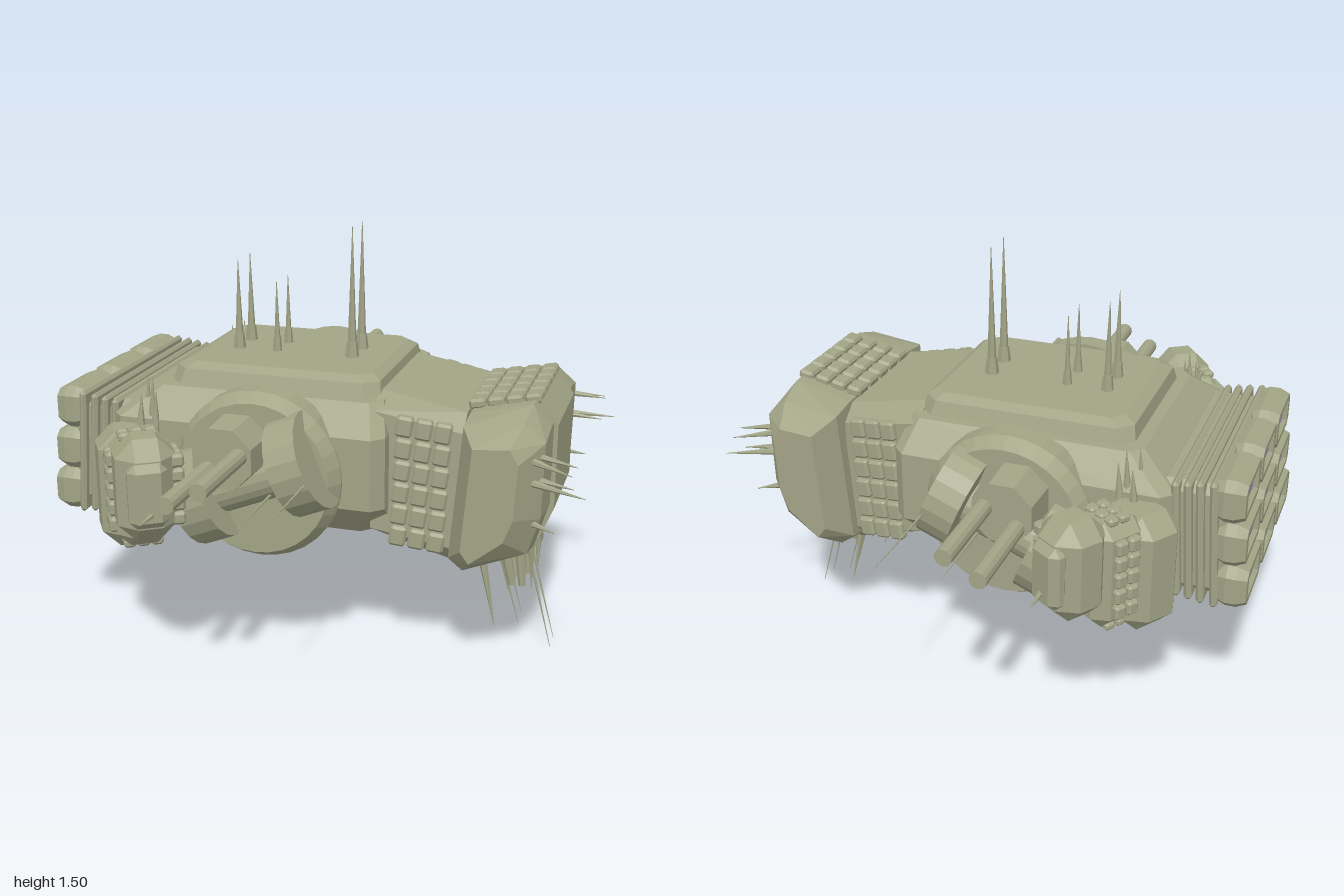
import * as THREE from 'three';
import { ConvexGeometry } from 'three/addons/geometries/ConvexGeometry.js';

const V = (x, y, z) => new THREE.Vector3(x, y, z);
const paint = (color) => new THREE.MeshStandardMaterial({ color, flatShading: true });

export function createModel() {
  const model = new THREE.Group();
  const olive = paint(0xa2a486), purple = paint(0xa98cc4);

  function add(name, geometry, material = olive, parent = model) {
    const mesh = new THREE.Mesh(geometry, material);
    mesh.name = name;
    parent.add(mesh);
    return mesh;
  }

  // Box with every edge chamfered by c
  function bevelBox(sx, sy, sz, c) {
    const pts = [], a = sx / 2, b = sy / 2, d = sz / 2;
    for (const i of [-1, 1]) for (const j of [-1, 1]) for (const k of [-1, 1]) {
      pts.push(V(i * a, j * (b - c), k * (d - c)), V(i * (a - c), j * b, k * (d - c)), V(i * (a - c), j * (b - c), k * d));
    }
    return new ConvexGeometry(pts);
  }

  // Plan-view octagon at height y
  function ring(x0, x1, w, y, c) {
    const pts = [];
    for (const s of [-1, 1]) pts.push(V(x0, y, s * (w - c)), V(x0 + c, y, s * w), V(x1 - c, y, s * w), V(x1, y, s * (w - c)));
    return pts;
  }

  // Side profile placed at depth z
  const layer = (profile, z) => profile.map(([x, y]) => V(x, y, z));

  // Tapered rod from a to b
  function rod(name, a, b, r0, r1, sides = 6) {
    const mesh = add(name, new THREE.CylinderGeometry(r1, r0, a.distanceTo(b), sides));
    mesh.position.copy(a).add(b).multiplyScalar(0.5);
    mesh.quaternion.setFromUnitVectors(V(0, 1, 0), b.clone().sub(a).normalize());
  }
  const needle = (name, a, b, r) => rod(name, a, b, r, 0.001);

  // Raised tiles over the parallelogram spanned by u and v from an origin
  function tiles(name, origin, u, v, cols, rows, depth = 0.03) {
    const group = new THREE.Group();
    group.name = name;
    const w = u.length() / cols, h = v.length() / rows;
    const geo = bevelBox(w * 0.9, h * 0.9, depth, 0.009);
    const X = u.clone().normalize(), Z = X.clone().cross(v).normalize(), Y = Z.clone().cross(X);
    const basis = new THREE.Matrix4().makeBasis(X, Y, Z);
    for (let i = 0; i < cols; i++) for (let j = 0; j < rows; j++) {
      const tile = add('tile', geo, olive, group);
      tile.quaternion.setFromRotationMatrix(basis);
      tile.position.copy(origin).addScaledVector(u, (i + 0.5) / cols).addScaledVector(v, (j + 0.5) / rows);
    }
    model.add(group);
  }

  // Main hull and raised deck
  add('hull', new ConvexGeometry([
    ...ring(-0.6, 0.27, 0.32, 0.49, 0.1), ...ring(-0.7, 0.28, 0.45, 0.62, 0.04),
    ...ring(-0.7, 0.28, 0.45, 0.87, 0.04), ...ring(-0.57, 0.25, 0.36, 0.97, 0.04)]));
  add('deck', new ConvexGeometry([
    ...ring(-0.535, 0.235, 0.335, 0.94, 0.04), ...ring(-0.52, 0.22, 0.31, 1.02, 0.05), ...ring(-0.48, 0.19, 0.275, 1.04, 0.04)]));

  // Deck antennas
  for (const s of [-1, 1]) for (const [x, top, r] of [[-0.365, 1.36, 0.024], [-0.22, 1.29, 0.018], [0.06, 1.5, 0.027]]) {
    rod('antennaBase', V(x, 1.03, s * 0.06), V(x, 1.095, s * 0.06), r, r * 0.7);
    needle('antenna', V(x, 1.08, s * 0.06), V(x, top, s * 0.06), r * 0.6);
  }

  // Ribbed engine block
  add('engineCore', bevelBox(0.26, 0.4, 0.78, 0.03)).position.set(-0.76, 0.705, 0);
  [-0.71, -0.75, -0.79, -0.835].forEach((x, i) => {
    const rib = add('engineRib', bevelBox(0.026, 0.42 + i * 0.012, 0.84, 0.01));
    rib.position.set(x, 0.705, 0);
    rib.rotation.z = -0.06;
  });

  // Nine framed nozzles facing the rear
  const outline = (points) => points.map(([x, y]) => new THREE.Vector2(x, y));
  const frame = new THREE.Shape(outline([[-0.125, -0.04], [-0.1, -0.062], [0.1, -0.062], [0.125, -0.04],
    [0.125, 0.04], [0.1, 0.062], [-0.1, 0.062], [-0.125, 0.04]]));
  frame.holes.push(new THREE.Path(outline([[-0.092, -0.042], [-0.092, 0.042], [0.092, 0.042], [0.092, -0.042]])));
  const frameGeo = new THREE.ExtrudeGeometry(frame, { depth: 0.035, bevelThickness: 0.035, bevelSize: 0.014, bevelSegments: 1 });
  frameGeo.rotateY(-Math.PI / 2);
  for (let i = -1; i <= 1; i++) for (let j = -1; j <= 1; j++) {
    const x = -0.87 + j * 0.013, y = 0.71 + j * 0.155, z = i * 0.28;
    add('nozzleFrame', frameGeo).position.set(x, y, z);
    add('nozzleGlow', new THREE.BoxGeometry(0.08, 0.078, 0.178), purple).position.set(x - 0.014, y, z);
  }

  // Neck
  add('neck', new ConvexGeometry([-1, 1].flatMap((s) => [
    ...[[0.22, 0.95], [0.52, 0.88], [0.52, 0.46], [0.22, 0.53]].map(([x, y]) => V(x, y, s * (0.41 - x * 0.18))),
    ...layer([[0.22, 0.99], [0.52, 0.935], [0.52, 0.385], [0.22, 0.47]], s * 0.25)])));

  // Nose core with tiled top, standing slightly above the cheeks
  const coreProfile = [[0.45, 0.9], [0.52, 0.94], [0.74, 0.985], [0.815, 0.9], [0.815, 0.6], [0.77, 0.49], [0.5, 0.4]];
  add('noseCore', new ConvexGeometry([...layer(coreProfile, -0.19), ...layer(coreProfile, 0.19)]));
  tiles('noseTiles', V(0.51, 0.945, 0.21), V(0.25, 0.046, 0), V(0, 0, -0.42), 4, 5, 0.035);

  const cheekInner = [[0.53, 0.935], [0.74, 0.985], [0.8, 0.91], [0.8, 0.62], [0.76, 0.48], [0.54, 0.38], [0.49, 0.42]];
  const cheekMid = [[0.53, 0.92], [0.73, 0.95], [0.8, 0.89], [0.795, 0.63], [0.755, 0.5], [0.54, 0.41], [0.49, 0.45]];
  const cheekOuter = [[0.58, 0.88], [0.7, 0.89], [0.73, 0.84], [0.72, 0.65], [0.69, 0.57], [0.58, 0.48], [0.55, 0.52]];

  for (const s of [-1, 1]) {
    const P = (x, y, z) => V(x, y, s * z);

    // Neck side tiles
    tiles('neckTiles', P(0.28, 0.475, 0.36), P(0.19, -0.03, -0.035), P(0.02, 0.47, 0), 3, 6, 0.04);

    // Nose cheeks and forward needles
    add('noseCheek', new ConvexGeometry([...layer(cheekInner, s * 0.18), ...layer(cheekInner, s * 0.25),
      ...layer(cheekMid, s * 0.36), ...layer(cheekOuter, s * 0.46)]));
    for (const [y, z, dz, x] of [[0.85, 0.36, 0.03, 0.91], [0.84, 0.39, 0.06, 0.9], [0.77, 0.36, 0.02, 0.9], [0.765, 0.39, 0.05, 0.945], [0.62, 0.37, 0.03, 0.85]]) {
      needle('cheekNeedle', P(0.75, y, z), P(x, y - 0.02, z + dz), 0.014);
    }

    // Chin probes
    rod('chinProbe', P(0.62, 0.42, 0.045), P(0.66, 0.23, 0.035), 0.022, 0.014, 8);
    rod('chinProbe', P(0.68, 0.45, 0.06), P(0.7, 0.24, 0.055), 0.022, 0.014, 8);
    needle('chinSpike', P(0.55, 0.44, 0.13), P(0.62, 0.11, 0.145), 0.02);
    needle('chinSpike', P(0.73, 0.46, 0.08), P(0.735, 0.24, 0.07), 0.018);
    needle('chinWhisker', P(0.6, 0.4, 0.04), P(0.69, 0.08, 0.04), 0.006);
    needle('chinWhisker', P(0.7, 0.42, 0.03), P(0.81, 0, 0.04), 0.006);

    // Gun turret: round base, drum, cheeks, mantle and twin barrels
    const disc = add('turretBase', new THREE.CylinderGeometry(0.265, 0.295, 0.05, 32));
    disc.rotation.x = s * Math.PI / 2;
    disc.position.set(-0.15, 0.715, s * 0.485);
    const rim = add('turretRim', new THREE.CylinderGeometry(0.295, 0.295, 0.08, 32));
    rim.rotation.x = s * Math.PI / 2;
    rim.position.set(-0.15, 0.715, s * 0.42);
    const n = V(0.925, 0.38, 0);
    for (const [name, off, r, len] of [['turretDrum', 0, 0.085, 0.3], ['turretCheek', 0.185, 0.17, 0.115], ['turretCheek', -0.185, 0.17, 0.115]]) {
      const part = add(name, new THREE.CylinderGeometry(r, r, len, 20));
      part.rotation.z = -Math.PI / 2 + 0.39;
      part.position.set(-0.15, 0.715, s * 0.49).addScaledVector(n, off);
    }
    const mantle = add('gunMantle', new THREE.CylinderGeometry(0.11, 0.12, 0.22, 8));
    mantle.rotation.set(s * Math.PI / 2, Math.PI / 8, 0);
    mantle.position.set(-0.2, 0.83, s * 0.545);
    for (const [x, y] of [[-0.25, 0.79], [-0.14, 0.845]]) {
      rod('gunBarrel', P(x, y, 0.6), P(x, y, 0.985), 0.029, 0.029, 12);
    }
    needle('turretWhisker', P(0.08, 0.77, 0.5), P(0.08, 0.77, 1.0), 0.006);
    needle('turretWhisker', P(-0.075, 0.68, 0.5), P(-0.075, 0.68, 0.83), 0.006);

    // Angled side pod, built along its axis a with side direction b
    const angle = 0.98, a = P(Math.cos(angle), 0, Math.sin(angle)), b = P(Math.sin(angle), 0, -Math.cos(angle));
    const at = (along, y, across) => P(-0.615, 0, 0.46).addScaledVector(a, along).addScaledVector(b, across).setY(y);
    for (const [name, along, y, across, l, h, w, c] of [
      ['podRoot', 0.02, 0.64, 0, 0.22, 0.42, 0.25, 0.06],
      ['podMiddle', 0.15, 0.675, 0, 0.2, 0.38, 0.18, 0.045],
      ['podHead', 0.295, 0.73, 0, 0.2, 0.35, 0.2, 0.06],
      ['podTip', 0.385, 0.73, -0.005, 0.07, 0.22, 0.13, 0.025]]) {
      const part = add(name, bevelBox(l, h, w, c));
      part.position.copy(at(along, y, across));
      part.rotation.y = -s * angle;
    }
    for (const side of [-1, 1]) {
      tiles('podTiles', at(0.1, 0.53, side * 0.095), a.clone().multiplyScalar(0.1), V(0, 0.29, 0), 2, 5, 0.035);
    }
    for (const y of [0.865, 0.485]) {
      tiles('podEndTiles', at(0.11, y, -0.07), a.clone().multiplyScalar(0.09), b.clone().multiplyScalar(0.14), 2, 3);
    }
    tiles('podTeeth', at(0.22, 0.6, 0.1), a.clone().multiplyScalar(0.14), V(0, 0.25, 0), 3, 5, 0.045);
    needle('podSpike', P(-0.385, 0.67, 0.79), P(-0.385, 0.67, 0.895), 0.012);
    for (const [x, z, top] of [[-0.585, 0.39, 1.0], [-0.55, 0.43, 1.01], [-0.53, 0.45, 0.97], [-0.58, 0.46, 0.96]]) {
      needle('podAntenna', P(x, 0.81, z), P(x + 0.01, top, z), 0.02);
    }
  }

  // Chin mount
  const chin = add('chinMount', new THREE.CylinderGeometry(0.13, 0.09, 0.15, 10));
  chin.position.set(0.65, 0.44, 0);
  chin.rotation.z = 0.35;

  return model;
}
